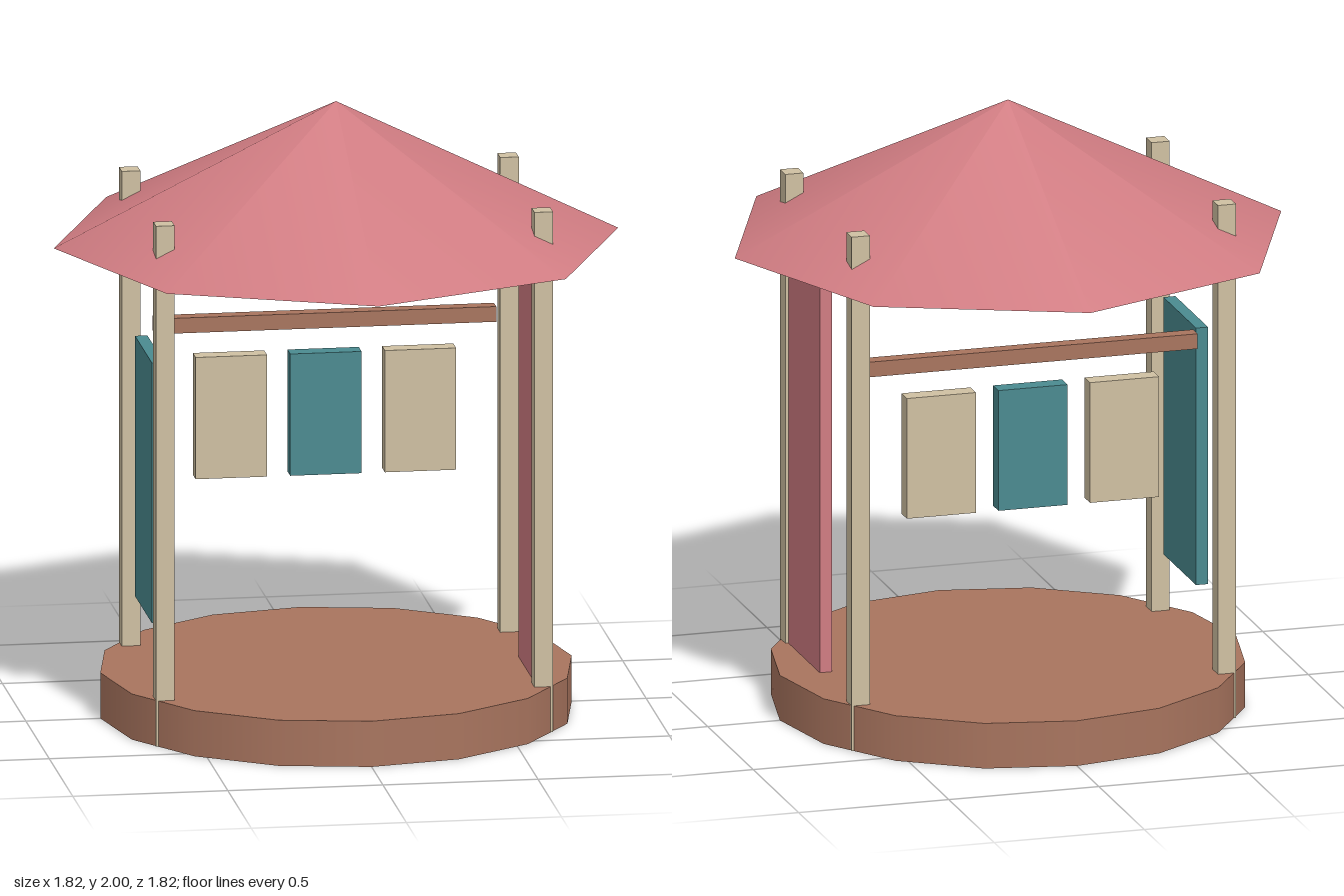
import * as THREE from 'three';

const material = (name, color) => {
  const m = new THREE.MeshStandardMaterial({ color });
  m.name = name;
  return m;
};

export function createModel() {
  const group = new THREE.Group();
  const pink = material('pink', 0xd07c82);
  const beige = material('beige', 0xcfc0a2);
  const teal = material('teal', 0x4a8a90);
  const brown = material('brown', 0xa8745e);

  const add = (name, geometry, mat, x, y, z) => {
    const mesh = new THREE.Mesh(geometry, mat);
    mesh.name = name;
    mesh.position.set(x, y, z);
    group.add(mesh);
  };
  const box = (name, mat, w, h, d, x, y, z) =>
    add(name, new THREE.BoxGeometry(w, h, d), mat, x, y, z);

  // Round floor and eight-sided roof
  add('floor', new THREE.CylinderGeometry(0.76, 0.76, 0.15, 16), brown, 0, 0.075, 0);
  add('roof', new THREE.ConeGeometry(0.91, 0.45, 8), pink, 0, 1.775, 0);

  // Four posts, from the ground up through the roof
  for (const sx of [-1, 1])
    for (const sz of [-1, 1])
      box('post', beige, 0.06, 1.71, 0.06, sx * 0.61, 0.855, sz * 0.365);

  // Side panels between the posts
  box('leftSidePanel', pink, 0.04, 1.4, 0.36, 0.61, 0.85, 0.17);
  box('rightSidePanel', teal, 0.04, 0.855, 0.36, -0.61, 0.795, 0.06);

  // Rail at the back with three boards below it
  box('rail', brown, 1.1, 0.05, 0.05, 0, 1.225, -0.245);
  [-1, 0, 1].forEach((i) =>
    box('board', i ? beige : teal, 0.23, 0.4, 0.06, i * 0.305, 0.92, -0.245));

  return group;
}
